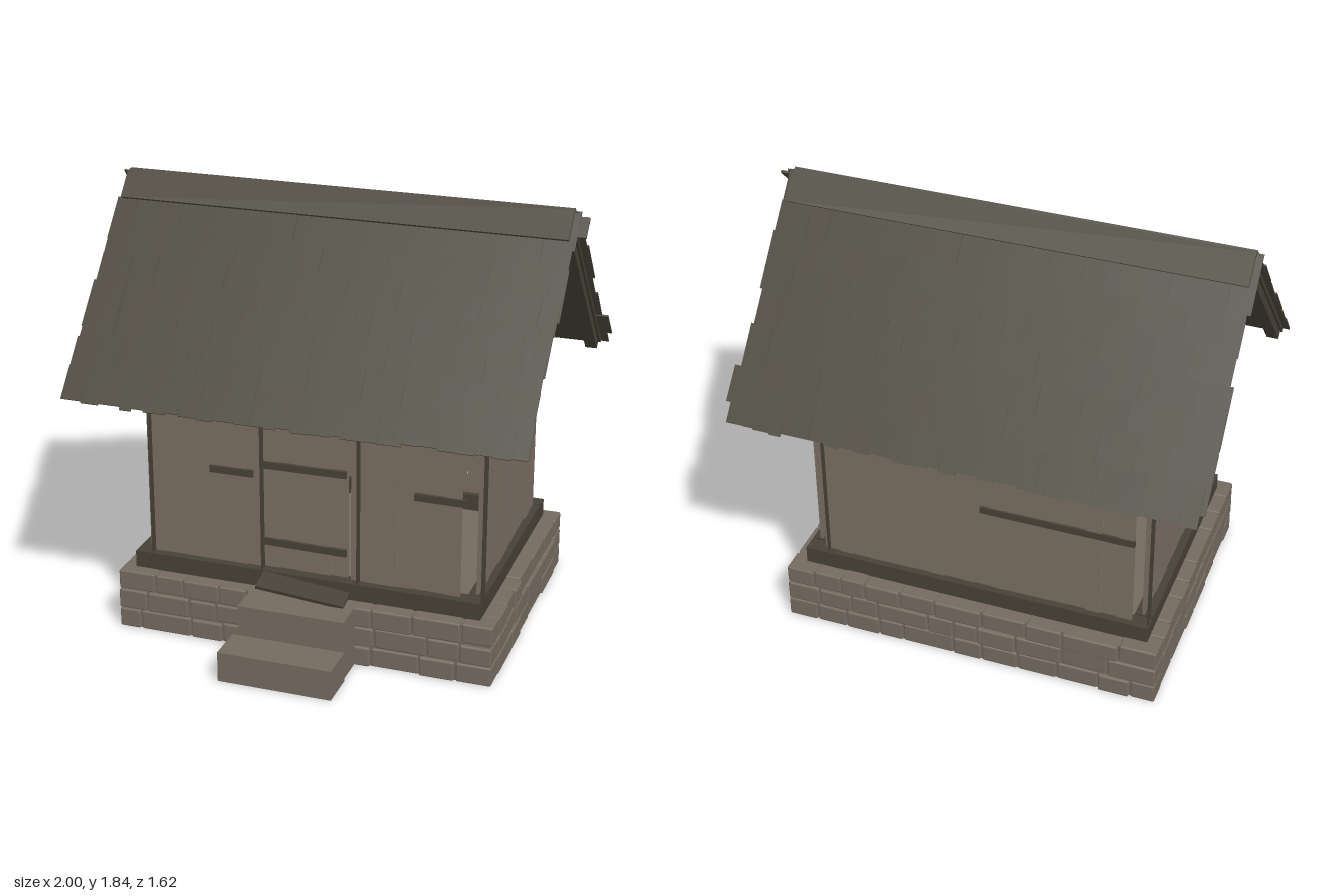
import * as THREE from 'three';
import { mergeGeometries } from 'three/addons/utils/BufferGeometryUtils.js';
import { RoundedBoxGeometry } from 'three/addons/geometries/RoundedBoxGeometry.js';

const material = (name, color) => {
  const m = new THREE.MeshStandardMaterial({ color });
  m.name = name;
  return m;
};

// Box given by its limits on each axis
function box(x0, x1, y0, y1, z0, z1) {
  return new THREE.BoxGeometry(x1 - x0, y1 - y0, z1 - z0)
    .translate((x0 + x1) / 2, (y0 + y1) / 2, (z0 + z1) / 2);
}

// Upright timber made only of its two faces that look along x
function sidePanels(x0, x1, y0, y1, z0, z1) {
  const make = (x, turn) => new THREE.PlaneGeometry(z1 - z0, y1 - y0)
    .rotateY(turn).translate(x, (y0 + y1) / 2, (z0 + z1) / 2);
  return [make(x0, -Math.PI / 2), make(x1, Math.PI / 2)];
}

export function createModel() {
  const model = new THREE.Group();
  model.name = 'cabin';
  let seed = 7;
  const rand = (a, b) => {
    seed = (seed * 16807) % 2147483647;
    return a + (b - a) * (seed / 2147483647);
  };

  const plankMat = material('weathered planks', 0x796d61);
  const beamMat = material('dark timber', 0x464136);
  const stoneMat = material('stone', 0x756a5f);
  const shingleMat = material('shingles', 0x4a463a);

  const add = (name, mat, geos, parent = model) => {
    const mesh = new THREE.Mesh(mergeGeometries(geos), mat);
    mesh.name = name;
    parent.add(mesh);
    return mesh;
  };

  // Stone foundation: a core faced by three courses of blocks
  add('foundationCore', stoneMat, [box(-0.81, 0.795, 0.002, 0.258, -0.685, 0.485)]);
  const stones = [];
  const stone = (x0, x1, y0, y1, z0, z1) => {
    stones.push(new RoundedBoxGeometry(x1 - x0, y1 - y0, z1 - z0, 1, 0.008)
      .translate((x0 + x1) / 2, (y0 + y1) / 2, (z0 + z1) / 2));
  };
  // Cuts a run into pieces of random length
  const runs = (a, b, min, max) => {
    const cuts = [a];
    while (b - cuts[cuts.length - 1] > max + min) cuts.push(cuts[cuts.length - 1] + rand(min, max));
    if (b - cuts[cuts.length - 1] > max) cuts.push((b + cuts[cuts.length - 1]) / 2);
    cuts.push(b);
    return cuts.slice(1).map((c, i) => [cuts[i], c]);
  };
  for (let row = 0; row < 3; row++) {
    const y0 = 0.003 + row * 0.088, y1 = y0 + 0.083;
    for (const s of [1, -1]) {
      for (const [a, b] of runs(-0.825, 0.81, 0.1, 0.24)) {
        const face = -0.1 + s * (0.6 + rand(-0.008, 0.004));
        const back = -0.1 + s * 0.49;
        stone(a + 0.003, b - 0.003, y0, y1 + rand(-0.004, 0.004), Math.min(face, back), Math.max(face, back));
      }
      for (const [a, b] of runs(-0.59, 0.39, 0.1, 0.24)) {
        const face = -0.007 + s * (0.817 + rand(-0.008, 0.003));
        const back = -0.007 + s * 0.71;
        stone(Math.min(face, back), Math.max(face, back), y0, y1 + rand(-0.004, 0.004), a + 0.003, b - 0.003);
      }
    }
  }
  add('foundationStones', stoneMat, stones);

  // Front steps
  add('upperStep', stoneMat, [box(-0.225, 0.23, 0.005, 0.265, 0.45, 0.64)]);
  add('lowerStep', stoneMat, [box(-0.25, 0.235, 0.002, 0.132, 0.64, 0.805)]);

  // Sill beams around the foundation
  add('sillBeams', beamMat, [
    box(-0.765, 0.74, 0.262, 0.337, 0.37, 0.44),
    box(-0.765, 0.74, 0.262, 0.337, -0.635, -0.57),
    box(0.67, 0.74, 0.262, 0.337, -0.562, 0.365),
    box(-0.765, -0.69, 0.262, 0.337, -0.562, 0.365),
  ]);
  const threshold = add('threshold', beamMat, [box(-0.19, 0.19, -0.008, 0.008, -0.05, 0.05)]);
  threshold.position.set(0, 0.298, 0.48);
  threshold.rotation.set(0.25, 0, -0.1);

  // Corner posts and door jambs
  add('cornerPosts', beamMat, [
    ...sidePanels(0.7, 0.74, 0.337, 1.17, 0.37, 0.44),
    ...sidePanels(0.64, 0.672, 0.337, 1.17, -0.635, -0.575),
    ...sidePanels(-0.72, -0.69, 0.337, 1.17, 0.37, 0.44),
    ...sidePanels(-0.76, -0.735, 0.337, 1.17, -0.635, -0.575),
  ]);
  add('doorJambs', beamMat, [
    ...sidePanels(-0.235, -0.195, 0.337, 0.99, 0.37, 0.45),
    ...sidePanels(0.175, 0.22, 0.337, 0.99, 0.37, 0.45),
  ]);
  add('doorLintel', beamMat, [box(-0.26, 0.245, 0.985, 1.045, 0.37, 0.442)]);

  // Top plates and gable tie beams
  add('topPlates', beamMat, [
    box(-0.76, 0.74, 1.165, 1.205, 0.37, 0.42),
    box(-0.76, 0.74, 1.165, 1.205, -0.62, -0.57),
    box(0.67, 0.74, 1.17, 1.235, -0.562, 0.37),
    box(-0.76, -0.69, 1.17, 1.235, -0.562, 0.37),
  ]);

  // Planked walls
  const planksAlongX = (a, b, count, y0, y1, z) => {
    const w = (b - a) / count, out = [];
    for (let i = 0; i < count; i++) {
      const dz = rand(-0.004, 0.004);
      out.push(box(a + i * w + 0.0015, a + (i + 1) * w - 0.0015, y0, y1, z + dz - 0.006, z + dz + 0.006));
    }
    return out;
  };
  add('frontWall', plankMat, [
    ...planksAlongX(-0.69, -0.2, 7, 0.337, 1.17, 0.395),
    ...planksAlongX(0.18, 0.645, 7, 0.337, 1.17, 0.395),
    ...planksAlongX(-0.2, 0.18, 5, 1.0, 1.17, 0.395),
  ]);
  add('backWall', plankMat, planksAlongX(-0.69, 0.665, 20, 0.337, 1.17, -0.6));
  add('door', plankMat, planksAlongX(-0.195, 0.17, 5, 0.345, 0.985, 0.4));

  for (const [name, x] of [['left', 0.705], ['right', -0.725]]) {
    const wall = [], gable = [];
    for (let i = 0; i < 12; i++) {
      const w = 0.925 / 12, z = -0.56 + i * w, dx = rand(-0.003, 0.003);
      wall.push(box(x + dx - 0.005, x + dx + 0.005, 0.337, 1.17, z + 0.0015, z + w - 0.0015));
    }
    for (let i = -7; i <= 7; i++) {
      const w = 0.062, z = -0.1 + i * w, dx = rand(-0.003, 0.003);
      const top = Math.min(1.725, 1.75 - Math.abs(i) * w * 1.07);
      gable.push(box(x + dx - 0.005, x + dx + 0.005, 1.2, top, z - w / 2 + 0.001, z + w / 2 - 0.001));
    }
    add(name + 'Wall', plankMat, wall);
    add(name + 'Gable', plankMat, gable);
  }

  // Door battens and weathered wall rails
  const batten = (name, x0, x1, y, z, tilt) => {
    const mesh = add(name, beamMat, [box((x0 - x1) / 2, (x1 - x0) / 2, -0.015, 0.015, -0.008, 0.008)]);
    mesh.position.set((x0 + x1) / 2, y, z);
    mesh.rotation.z = tilt;
  };
  batten('upperDoorBatten', -0.195, 0.165, 0.805, 0.412, 0.01);
  batten('lowerDoorBatten', -0.195, 0.165, 0.46, 0.412, -0.01);
  batten('rightFrontRail', -0.43, -0.24, 0.752, 0.406, 0.005);
  batten('leftFrontRail', 0.45, 0.665, 0.752, 0.406, -0.005);
  batten('backRail', -0.69, -0.04, 0.735, -0.606, 0);

  // Roof: each slope is built flat with z running down from the ridge, then tilted
  const slopeLength = 1.03, rows = 8;
  for (const [name, turn] of [['frontRoof', 0], ['backRoof', Math.PI]]) {
    const holder = new THREE.Group();
    holder.name = name;
    holder.position.set(-0.018, 1.81, -0.1);
    holder.rotation.y = turn;
    model.add(holder);
    const slope = new THREE.Group();
    slope.name = name + 'Slope';
    slope.rotation.x = 0.825;
    holder.add(slope);

    add('deck', beamMat, [box(-0.95, 0.95, -0.016, 0, 0, slopeLength - 0.02)], slope);
    const rafters = [];
    for (let i = 0; i < 9; i++) {
      const x = -0.915 + i * 0.22875;
      rafters.push(box(x - 0.025, x + 0.025, -0.05, -0.014, 0, slopeLength - 0.025));
    }
    add('rafters', beamMat, rafters, slope);

    const shingles = [];
    for (let r = 0; r < rows; r++) {
      const z0 = r * slopeLength / rows;
      for (const [a, b] of runs(-0.972 + rand(-0.012, 0.012), 0.972 + rand(-0.012, 0.012), 0.04, 0.105)) {
        const long = r === rows - 1 ? rand(0, 0.015) : rand(0, 0.11);
        const len = slopeLength / rows + long;
        shingles.push(new THREE.BoxGeometry(b - a + 0.002, 0.006, len + 0.02)
          .rotateX(rand(0.025, 0.045))
          .translate((a + b) / 2, 0.009 + rand(0, 0.003), z0 + len / 2 - 0.01));
      }
    }
    // One loose shingle slips past the gable on each slope
    shingles.push(turn ? box(-1.002, -0.92, 0.002, 0.01, 0.8, 0.95) : box(0.92, 1.018, 0.002, 0.012, 0, 0.09));
    add('shingles', shingleMat, shingles, slope);
    add('ridgeBoard', shingleMat, [box(-0.955, 0.955, 0.018, 0.03, -0.02, 0.115)], slope);
  }

  // Ridge pole under the peak
  add('ridgePole', beamMat, [box(-0.95, 0.93, 1.755, 1.81, -0.128, -0.072)]);
  return model;
}
